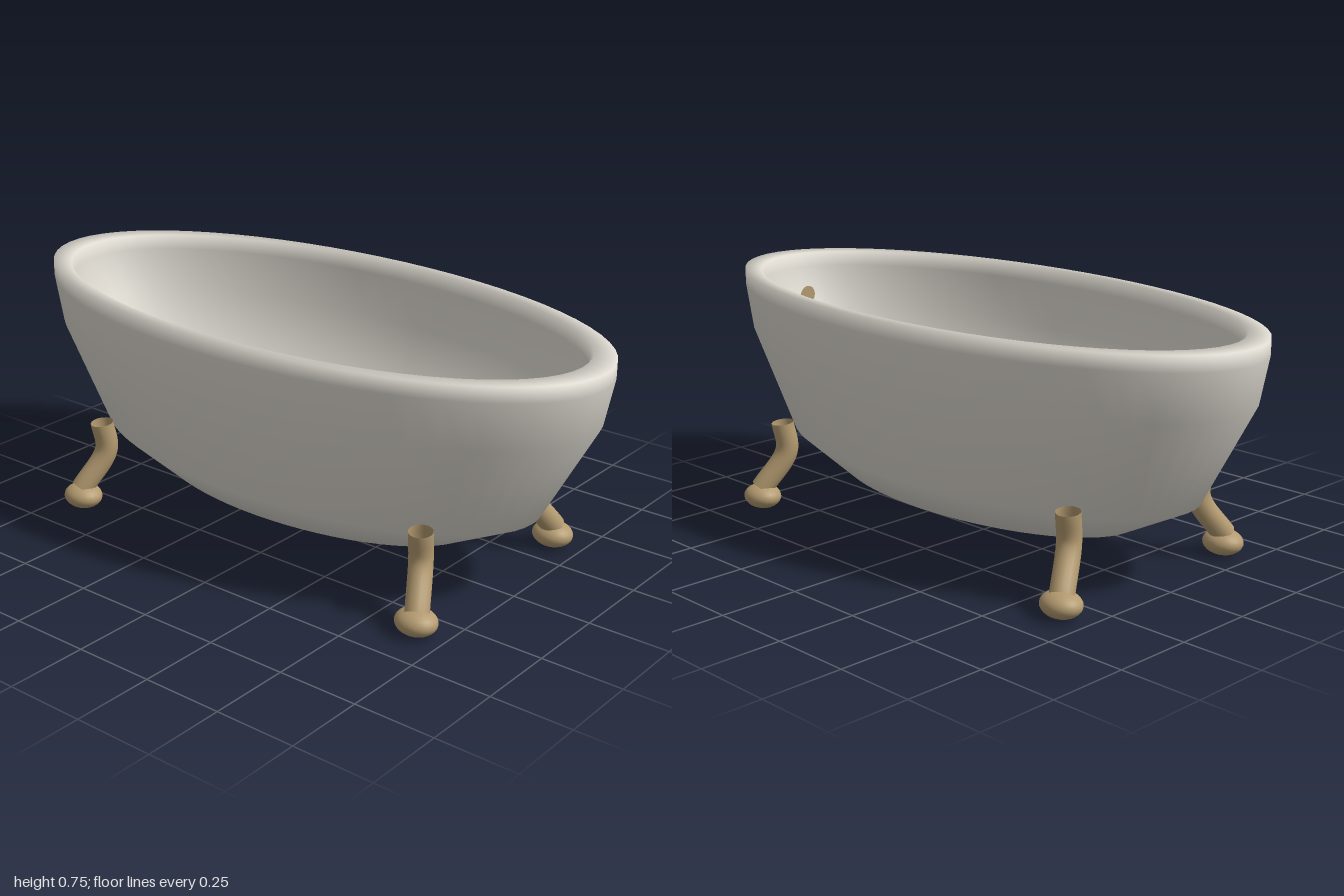
import * as THREE from 'three';

export function createModel() {
  const enamel = new THREE.MeshStandardMaterial({ color: 0xdedad1 });
  enamel.name = 'enamel';
  const brass = new THREE.MeshStandardMaterial({ color: 0xb39a70, side: THREE.DoubleSide });
  brass.name = 'brass';

  const group = new THREE.Group();
  group.name = 'bathtub';
  const add = (parent, name, geometry, material) => {
    const mesh = new THREE.Mesh(geometry, material);
    mesh.name = name;
    parent.add(mesh);
    return mesh;
  };

  // Tub: one closed profile, up the outside, over the rim and down the inside
  const profile = [
    [0, 0.135], [0.58, 0.135], [0.8, 0.247], [0.97, 0.555], [1, 0.7], [1, 0.747],
    [0.925, 0.747], [0.92, 0.7], [0.885, 0.56], [0.72, 0.27], [0, 0.19],
  ].map(([r, y]) => new THREE.Vector2(r, y));
  const tub = new THREE.LatheGeometry(profile, 64);
  tub.scale(0.47, 1, 1); // oval plan
  add(group, 'tub', tub, enamel);

  // Overflow plate on the inside of the front end
  const overflow = add(group, 'overflowPlate', new THREE.CircleGeometry(0.03, 24), brass);
  overflow.position.set(0, 0.622, 0.84);
  overflow.rotation.y = Math.PI;

  // Four curved legs with flattened ball feet
  for (const sx of [1, -1]) {
    for (const sz of [1, -1]) {
      const leg = new THREE.Group();
      leg.name = (sz > 0 ? 'front' : 'back') + (sx > 0 ? 'Left' : 'Right') + 'Leg';
      const path = new THREE.CatmullRomCurve3([
        new THREE.Vector3(0.293 * sx, 0.28, 0.622 * sz),
        new THREE.Vector3(0.283 * sx, 0.185, 0.618 * sz),
        new THREE.Vector3(0.355 * sx, 0.065, 0.66 * sz),
      ]);
      add(leg, 'shank', new THREE.TubeGeometry(path, 20, 0.036, 16), brass);
      const foot = add(leg, 'foot', new THREE.SphereGeometry(1, 24, 16), brass);
      foot.scale.set(0.056, 0.039, 0.065);
      foot.position.set(0.355 * sx, 0.039, 0.658 * sz);
      group.add(leg);
    }
  }
  return group;
}
